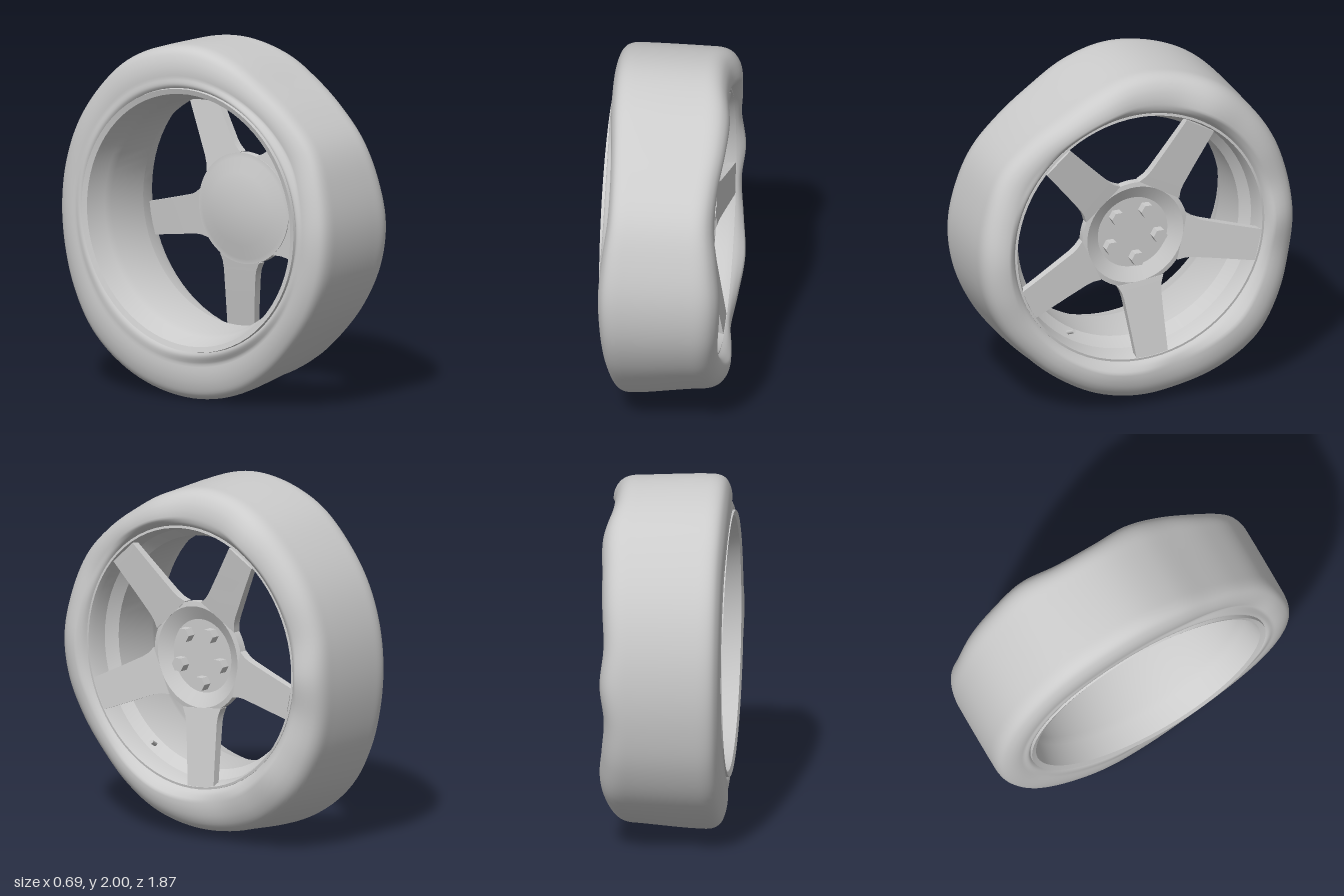
import * as THREE from 'three';
import { toCreasedNormals } from 'three/addons/utils/BufferGeometryUtils.js';

const DEG = Math.PI / 180;
const AXLE_Y = 1.03;
const SPOKE_ANGLES = [0, 1, 2, 3, 4].map(k => 60 + 72 * k);

// Uneven tyre, one value every 15 degrees (0 = back, 90 = top, 180 = front)
const TREAD = [.935, .935, .944, .955, .975, .977, .972, .94, .905, .908, .93, .927,
  .934, .937, .935, .94, .97, 1.008, 1.03, 1.034, 1.032, 1.02, .985, .95];
const OUTER_WALL = [.332, .312, .325, .335, .345, .31, .31, .335, .325, .30, .29, .312,
  .332, .325, .31, .312, .33, .34, .325, .303, .325, .348, .328, .31];
const INNER_WALL = [.335, .335, .335, .335, .34, .34, .335, .325, .307, .297, .30, .325,
  .342, .338, .328, .315, .303, .30, .315, .335, .34, .34, .335, .335];

// Smooth periodic lookup in a table
function sample(table, deg) {
  const n = table.length, p = deg / 360 * n, i = Math.floor(p), t = p - i;
  const at = k => table[(i + k + n) % n];
  const [a, b, c, d] = [at(-1), at(0), at(1), at(2)];
  return b + 0.5 * t * (c - a + t * (2 * a - 5 * b + 4 * c - d + t * (3 * (b - c) + d - a)));
}

const bump = (deg, centre, width) => Math.exp(-(((deg - centre) / width) ** 2));

function makeTyre() {
  // Section from outer bead to inner bead: x as a share of wall bulge, height from bead (0) to tread (1)
  const section = [[.92, 0], [.98, .1], [1, .26], [.99, .47], [.94, .69], [.84, .88], [.68, .985], [.42, 1],
    [0, 1.003], [-.5, 1], [-.75, .985], [-.89, .89], [-.965, .7], [-1, .48], [-1, .26], [-.98, .1], [-.92, 0]];
  const profile = new THREE.SplineCurve(section.map(p => new THREE.Vector2(...p))).getPoints(64);
  const around = 144, cols = profile.length, pos = [], index = [];
  for (let i = 0; i < around; i++) {
    const deg = i / around * 360, a = deg * DEG;
    const tread = sample(TREAD, deg);
    for (const p of profile) {
      const bulge = sample(p.x > 0 ? OUTER_WALL : INNER_WALL, deg);
      const fixed = p.x > 0 ? .30 : .355;
      const grip = Math.max(0, 1 - p.y / .25);
      const x = p.x * (bulge + (fixed - bulge) * grip);
      // The tread slopes where the tyre is squashed
      const slope = (.05 * bump(deg, 260, 38) + .018 * bump(deg, 100, 30)) * THREE.MathUtils.smoothstep(x, -.25, .25);
      const r = .742 + (tread - slope - .742) * p.y;
      pos.push(x, r * Math.sin(a), -r * Math.cos(a));
    }
    for (let j = 0; j < cols - 1; j++) {
      const a0 = i * cols + j, b0 = ((i + 1) % around) * cols + j;
      index.push(a0, a0 + 1, b0, a0 + 1, b0 + 1, b0);
    }
  }
  const g = new THREE.BufferGeometry();
  g.setAttribute('position', new THREE.Float32BufferAttribute(pos, 3));
  g.setIndex(index);
  g.computeVertexNormals();
  return g;
}

// Lathe around the axle; points are [radius, x]
function lathe(points, segments) {
  const g = new THREE.LatheGeometry(points.map(p => new THREE.Vector2(...p)), segments);
  return toCreasedNormals(g.rotateZ(-Math.PI / 2), 25 * DEG);
}

// Spoke along +y from stations [radius, width, front x, thickness]
function makeSpoke() {
  const stations = [[.286, .275, .218, .05], [.305, .258, .221, .05], [.33, .237, .225, .05],
    [.37, .222, .231, .05], [.5, .207, .25, .048], [.62, .196, .268, .045], [.725, .187, .283, .042]];
  const g = new THREE.BoxGeometry(1, 1, 1, 1, stations.length - 1, 1);
  const p = g.attributes.position;
  for (let i = 0; i < p.count; i++) {
    const k = Math.round((p.getY(i) + .5) * (stations.length - 1));
    const [r, width, front, thick] = stations[k];
    p.setXYZ(i, front + (p.getX(i) - .5) * thick, r, p.getZ(i) * width);
  }
  return toCreasedNormals(g, 30 * DEG);
}

export function createModel() {
  const model = new THREE.Group();
  model.name = 'wheel';
  const wheel = new THREE.Group();
  wheel.name = 'tyreAndRim';
  wheel.position.y = AXLE_Y;
  const centre = new THREE.Group();
  centre.name = 'hubAndSpokes';
  centre.position.y = AXLE_Y - .009;
  model.add(wheel, centre);

  const solid = new THREE.MeshStandardMaterial({ color: 0xcccccc });
  const open = new THREE.MeshStandardMaterial({ color: 0xcccccc, side: THREE.DoubleSide });
  const add = (parent, name, geometry, material = solid) => {
    const mesh = new THREE.Mesh(geometry, material);
    mesh.name = name;
    parent.add(mesh);
    return mesh;
  };

  add(wheel, 'tyre', makeTyre(), open);

  // Rim barrel with a lip at each end
  add(wheel, 'rim', lathe([[.75, .24], [.745, .283], [.732, .285], [.718, .25], [.71, .17],
    [.66, .11], [.66, -.18], [.676, -.22], [.712, -.335], [.742, -.345], [.75, -.30]], 72), open);

  // Hub with a dished face
  add(centre, 'hub', lathe([[0, .175], [.208, .175], [.287, .217], [.314, .213],
    [.314, .167], [.287, .165], [.208, .135], [0, .135]], 64), open);

  const spoke = makeSpoke();
  const bolt = toCreasedNormals(new THREE.CylinderGeometry(.042, .042, .07, 6).rotateZ(-Math.PI / 2), 30 * DEG);
  for (const deg of SPOKE_ANGLES) {
    add(centre, 'spoke', spoke).rotation.x = (deg - 90) * DEG;
    const a = deg * DEG;
    add(centre, 'bolt', bolt).position.set(.192, .15 * Math.sin(a), -.15 * Math.cos(a));
  }

  // Valve stem at the lower front of the rim
  const va = 237 * DEG;
  const valve = add(wheel, 'valveStem', new THREE.CylinderGeometry(.011, .013, .07, 10));
  valve.position.set(.16, .672 * Math.sin(va), -.672 * Math.cos(va));
  const along = new THREE.Vector3(.85, -.5 * Math.sin(va), .5 * Math.cos(va)).normalize();
  valve.quaternion.setFromUnitVectors(new THREE.Vector3(0, 1, 0), along);

  return model;
}
